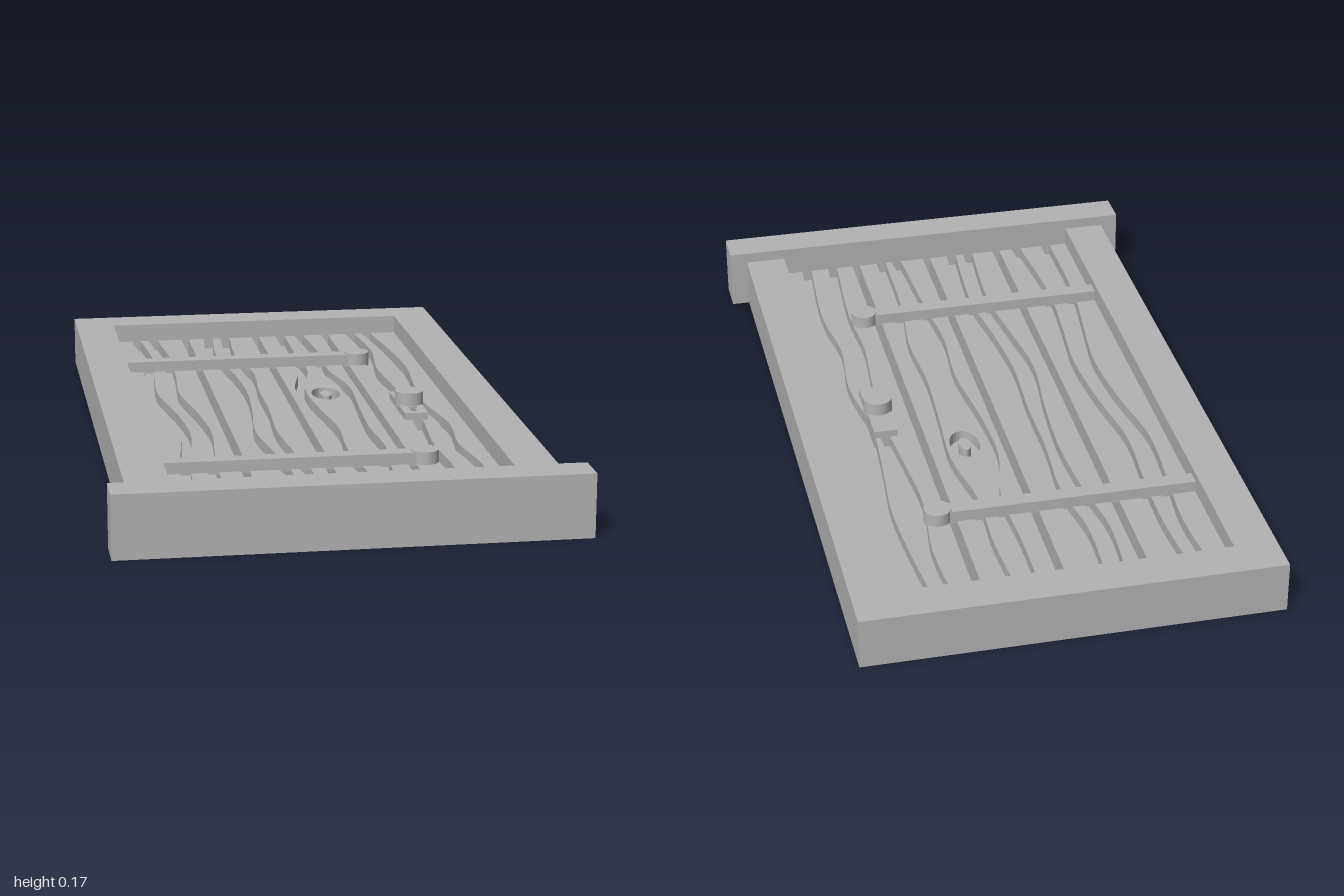
import * as THREE from 'three';

const BACK = -0.89, FRONT = 0.9;          // opening of the frame along z
const GROOVE_Y = 0.055, PLANK_Y = 0.087;  // groove floor and plank top
const GROOVE_HALF = 0.014;

export function createModel() {
  const door = new THREE.Group();
  door.name = 'door';
  const grey = new THREE.MeshStandardMaterial({ color: 0xb2b2b2 });
  grey.name = 'plain grey';

  const add = (name, geometry, parent = door) => {
    const mesh = new THREE.Mesh(geometry, grey);
    mesh.name = name;
    parent.add(mesh);
    return mesh;
  };
  // box given by its limits
  const box = (name, x0, x1, y0, y1, z0, z1, parent) =>
    add(name, new THREE.BoxGeometry(x1 - x0, y1 - y0, z1 - z0), parent)
      .position.set((x0 + x1) / 2, (y0 + y1) / 2, (z0 + z1) / 2);
  // outline of [x, z] points raised from y0 to y1
  const slab = (name, points, y0, y1, parent, hole) => {
    const toV = ([x, z]) => new THREE.Vector2(x, -z);
    const shape = new THREE.Shape(points.map(toV));
    if (hole) shape.holes.push(new THREE.Path(hole.map(toV)));
    const geo = new THREE.ExtrudeGeometry(shape, { depth: y1 - y0, bevelEnabled: false });
    geo.rotateX(-Math.PI / 2).translate(0, y0, 0);
    return add(name, geo, parent);
  };
  const disc = (name, x, z, r, y0, y1, parent) =>
    add(name, new THREE.CylinderGeometry(r, r, y1 - y0, 32), parent)
      .position.set(x, (y0 + y1) / 2, z);
  const ellipse = (x, z, rx, rz, n = 24) => Array.from({ length: n }, (_, i) => {
    const a = (i / n) * Math.PI * 2;
    return [x + rx * Math.cos(a), z + rz * Math.sin(a)];
  });

  // surround, open towards the threshold
  slab('frame', [
    [-0.56, FRONT], [-0.56, -1], [0.56, -1], [0.56, FRONT],
    [0.445, FRONT], [0.445, BACK], [-0.445, BACK], [-0.445, FRONT],
  ], 0, 0.14);
  box('threshold', -0.61, 0.61, 0, 0.17, 0.9, 1);

  // planks: limits in x, and the centre lines of the two grain grooves
  const zs = [-0.89, -0.66, -0.45, -0.24, -0.03, 0.19, 0.4, 0.61, 0.9];
  const planks = [
    { x0: -0.445, x1: -0.233,
      left: [-0.376, -0.36, -0.376, -0.386, -0.355, -0.339, -0.36, -0.381, -0.381],
      right: [-0.323, -0.307, -0.312, -0.323, -0.296, -0.28, -0.296, -0.307, -0.286] },
    { x0: -0.211, x1: -0.011,
      left: [-0.148, -0.164, -0.138, -0.127, -0.138, -0.159, -0.138, -0.116, -0.132],
      right: [-0.095, -0.106, -0.079, -0.09, -0.09, -0.1, -0.085, -0.063, -0.079] },
    { x0: 0.011, x1: 0.211, knot: [0.111, -0.175],
      left: [0.079, 0.079, 0.085, 0.045, 0.052, 0.074, 0.063, 0.079, 0.095],
      right: [0.138, 0.153, 0.148, 0.178, 0.168, 0.159, 0.169, 0.148, 0.143] },
    { x0: 0.233, x1: 0.445,
      left: [0.302, 0.317, 0.296, 0.307, 0.323, 0.317, 0.302, 0.312, 0.296],
      right: [0.354, 0.376, 0.386, 0.37, 0.36, 0.386, 0.37, 0.392, 0.376] },
  ];
  const line = (xs, offset) => {
    const curve = new THREE.SplineCurve(xs.map((x, i) => new THREE.Vector2(x, zs[i])));
    return curve.getPoints(32).map((p) => [p.x + offset, p.y]);
  };
  planks.forEach(({ x0, x1, left, right, knot }, i) => {
    const plank = new THREE.Group();
    plank.name = `plank${i + 1}`;
    door.add(plank);
    box('plankBase', x0, x1, 0, GROOVE_Y, BACK, FRONT, plank);
    const edges = [
      [[x0, BACK], [x0, FRONT]],
      line(left, -GROOVE_HALF), line(left, GROOVE_HALF),
      line(right, -GROOVE_HALF), line(right, GROOVE_HALF),
      [[x1, BACK], [x1, FRONT]],
    ];
    // raised strips between the grooves
    for (let s = 0; s < 3; s++) {
      const outline = [...edges[2 * s], ...edges[2 * s + 1].slice().reverse()];
      const ring = knot && s === 1 ? ellipse(...knot, 0.041, 0.067) : undefined;
      slab('grainStrip', outline, GROOVE_Y, PLANK_Y, plank, ring);
    }
    if (knot) slab('knotCore', ellipse(...knot, 0.016, 0.032), GROOVE_Y, PLANK_Y, plank);
  });

  // hinge straps with round ends
  for (const z of [-0.522, 0.552]) {
    const hinge = new THREE.Group();
    hinge.name = 'hinge';
    door.add(hinge);
    box('strap', -0.45, 0.245, PLANK_Y - 0.005, 0.118, z - 0.022, z + 0.022, hinge);
    disc('strapEnd', 0.26, z, 0.037, PLANK_Y - 0.005, 0.122, hinge);
  }

  // lock plate with keyhole and knob
  const lock = new THREE.Group();
  lock.name = 'lock';
  door.add(lock);
  slab('lockPlate',
    [[0.284, -0.093], [0.35, -0.093], [0.35, 0.145], [0.284, 0.145]],
    GROOVE_Y, 0.107, lock,
    [[0.305, 0.075], [0.329, 0.075], [0.329, 0.123], [0.305, 0.123]]);
  disc('knob', 0.317, 0.031, 0.04, 0.1, 0.143, lock);

  return door;
}
